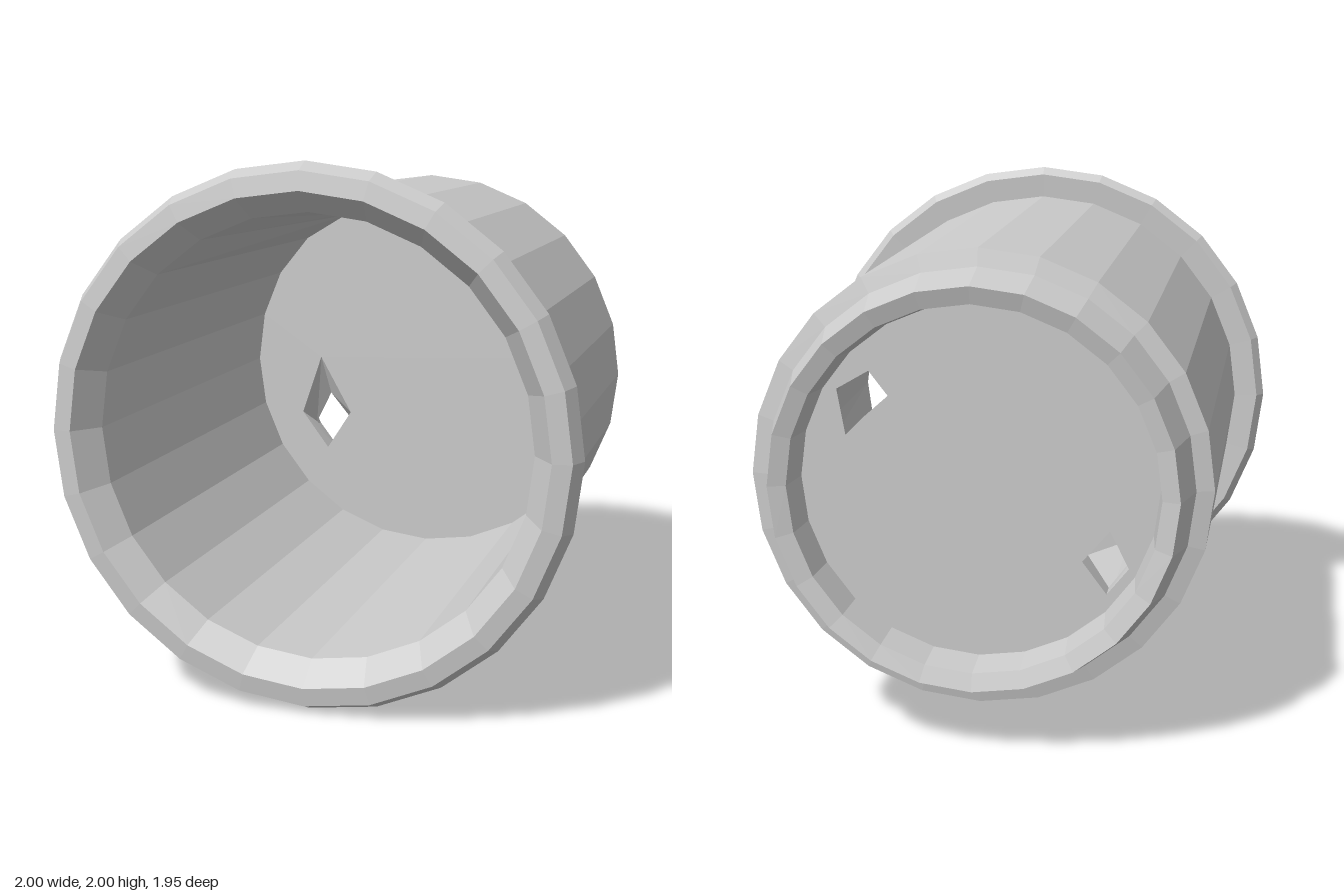
import * as THREE from 'three';

const SIDES = 24;
const FLOOR_FRONT = -0.72, FLOOR_BACK = -0.8;
const BACK_R = 0.66;

// Slanted vent holes: outline on the inner floor and on the outer base (y measured from the axis)
const HOLES = [
  { front: [[-0.5, 0.02], [-0.59, -0.24], [-0.47, -0.4], [-0.36, -0.23]],
    back: [[-0.48, -0.16], [-0.55, -0.3], [-0.47, -0.4], [-0.38, -0.28]] },
  { front: [[0.4, 0.4], [0.22, 0.34], [0.42, 0.15], [0.66, 0.07], [0.52, 0.33]],
    back: [[0.4, 0.4], [0.33, 0.31], [0.42, 0.23], [0.49, 0.16], [0.52, 0.33]] },
];

const vec = (pts) => pts.map(([x, y]) => new THREE.Vector2(x, y));

// The inner floor is round but pinched in towards the upper left of the cup
const floorRadius = (angle) => 0.8 - 0.14 * Math.max(0, Math.cos(angle - 1)) ** 2;
const baseRadius = () => BACK_R;

// Disc with hole outlines, its corners matching those of the lathed body
function disc(radiusAt, z, key) {
  const outline = [];
  for (let i = 0; i < SIDES; i++) {
    const a = (i / SIDES) * Math.PI * 2;
    outline.push(new THREE.Vector2(Math.cos(a), Math.sin(a)).multiplyScalar(radiusAt(a)));
  }
  const shape = new THREE.Shape(outline);
  for (const h of HOLES) shape.holes.push(new THREE.Path(vec(h[key])));
  return new THREE.ShapeGeometry(shape).translate(0, 0, z);
}

// Walls joining the two outlines of a hole
function holeWalls({ front, back }) {
  const pos = [];
  front.forEach((a, i) => {
    const j = (i + 1) % front.length;
    const A = [...a, FLOOR_FRONT], B = [...front[j], FLOOR_FRONT];
    const C = [...back[j], FLOOR_BACK], D = [...back[i], FLOOR_BACK];
    pos.push(...A, ...B, ...C, ...A, ...C, ...D);
  });
  const g = new THREE.BufferGeometry();
  g.setAttribute('position', new THREE.Float32BufferAttribute(pos, 3));
  g.computeVertexNormals();
  return g;
}

export function createModel() {
  const model = new THREE.Group();
  model.name = 'cup';
  const material = new THREE.MeshStandardMaterial({
    color: 0xcccccc, flatShading: true, side: THREE.DoubleSide,
  });
  const add = (name, geometry) => {
    const mesh = new THREE.Mesh(geometry, material);
    mesh.name = name;
    mesh.position.y = 1;
    model.add(mesh);
  };
  const lathe = (pts) => new THREE.LatheGeometry(vec(pts), SIDES).rotateX(Math.PI / 2);

  // Foot ring around the recessed base
  add('footRing', lathe([
    [BACK_R, FLOOR_BACK], [0.675, -0.95], [0.74, -0.97], [0.785, -0.8], [0.85, -0.785],
  ]));

  // Outer wall, slightly wider towards the mouth
  add('outerWall', lathe([[0.85, -0.785], [0.873, 0.87]]));

  // Flared rim with a bevelled inner lip
  add('rim', lathe([
    [0.873, 0.87], [0.97, 0.865], [1, 0.9], [0.97, 0.965], [0.9, 0.975], [0.82, 0.87],
  ]));

  // Inner wall, its deep end shaped to meet the pinched floor
  const inner = lathe([[0.82, 0.87], [0.8, FLOOR_FRONT]]);
  const p = inner.attributes.position;
  for (let i = 0; i < p.count; i++) {
    if (p.getZ(i) > 0) continue;
    const a = Math.atan2(p.getY(i), p.getX(i)), r = floorRadius(a);
    p.setXY(i, r * Math.cos(a), r * Math.sin(a));
  }
  inner.computeVertexNormals();
  add('innerWall', inner);

  // Floor inside and base outside, pierced by the vents
  add('innerFloor', disc(floorRadius, FLOOR_FRONT, 'front'));
  add('outerBase', disc(baseRadius, FLOOR_BACK, 'back'));
  HOLES.forEach((h, i) => add(i ? 'leftVent' : 'rightVent', holeWalls(h)));

  return model;
}
